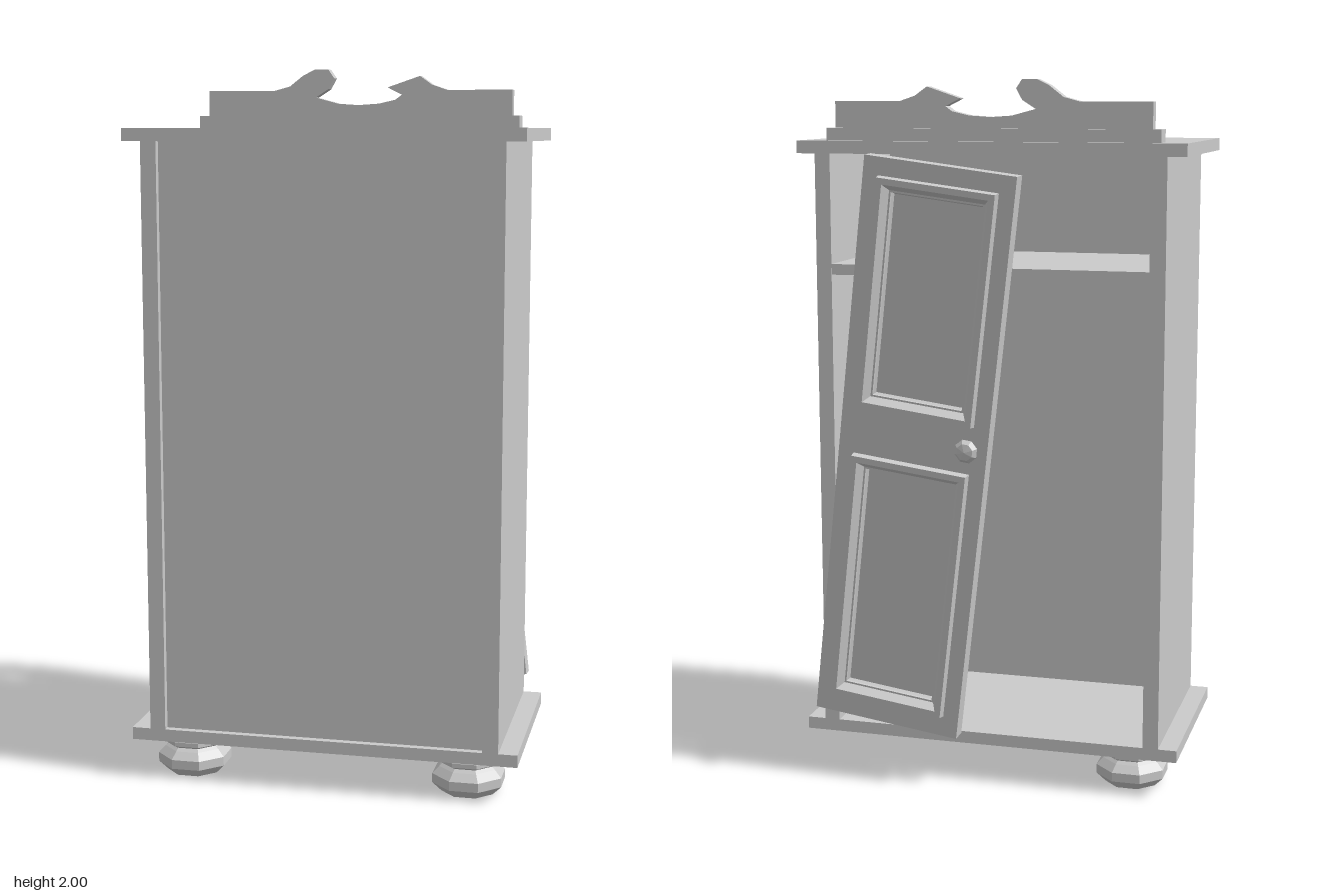
import * as THREE from 'three';

const material = new THREE.MeshStandardMaterial({ color: 0xcccccc, flatShading: true });

function add(parent, name, geometry, x = 0, y = 0, z = 0) {
  const mesh = new THREE.Mesh(geometry, material);
  mesh.name = name;
  mesh.position.set(x, y, z);
  parent.add(mesh);
  return mesh;
}

// Box given by its lower and upper limits on each axis
function box(parent, name, [x0, x1], [y0, y1], [z0, z1]) {
  return add(parent, name, new THREE.BoxGeometry(x1 - x0, y1 - y0, z1 - z0),
    (x0 + x1) / 2, (y0 + y1) / 2, (z0 + z1) / 2);
}

// Eight-sided turned part
function turned(points) {
  return new THREE.LatheGeometry(points.map(p => new THREE.Vector2(...p)), 8, Math.PI / 8);
}

function extrude(shape, depth) {
  return new THREE.ExtrudeGeometry(shape, { depth, bevelEnabled: false, curveSegments: 6 });
}

// Corners of a rectangle [x0, x1, y0, y1] shrunk by an inset
function corners([x0, x1, y0, y1], inset) {
  return [[x0 + inset, y0 + inset], [x0 + inset, y1 - inset],
    [x1 - inset, y1 - inset], [x1 - inset, y0 + inset]];
}

// Moulded frame facing -z, swept through rings of [inset, z] and closed by a sunk panel
function mouldedPanel(rect, rings) {
  const positions = [], index = [];
  for (const [inset, z] of rings) {
    for (const [x, y] of corners(rect, inset)) positions.push(x, y, z);
  }
  for (let i = 0; i < rings.length - 1; i++) {
    for (let j = 0; j < 4; j++) {
      const a = i * 4 + j, b = i * 4 + (j + 1) % 4;
      index.push(a, b, b + 4, a, b + 4, a + 4);
    }
  }
  const k = (rings.length - 1) * 4;
  index.push(k, k + 1, k + 2, k, k + 2, k + 3);
  const geometry = new THREE.BufferGeometry();
  geometry.setAttribute('position', new THREE.Float32BufferAttribute(positions, 3));
  geometry.setIndex(index);
  const flat = geometry.toNonIndexed();
  flat.computeVertexNormals();
  return flat;
}

function createDoor() {
  const door = new THREE.Group();
  door.name = 'door';
  const width = 0.433, height = 1.615;
  const panels = [[0.045, 0.388, 0.06, 0.785], [0.045, 0.388, 0.92, 1.565]];

  // Backing board and front layer with two openings
  box(door, 'doorBoard', [0, width], [0, height], [-0.025, 0]);
  const front = new THREE.Shape([[0, 0], [width, 0], [width, height], [0, height]]
    .map(p => new THREE.Vector2(...p)));
  for (const rect of panels) {
    front.holes.push(new THREE.Path(corners(rect, 0.04).map(p => new THREE.Vector2(...p))));
  }
  add(door, 'doorFront', extrude(front, 0.022), 0, 0, -0.047);

  // Raised mouldings around sunk panels
  panels.forEach(rect => add(door, 'doorPanel', mouldedPanel(rect,
    [[0, -0.047], [0.003, -0.072], [0.02, -0.072], [0.045, -0.03]])));

  // Knob
  const knob = add(door, 'knob', turned([[0.015, 0], [0.013, 0.018], [0.028, 0.024],
    [0.034, 0.037], [0.024, 0.05], [0, 0.055]]), 0.05, 0.86, -0.047);
  knob.rotation.x = -Math.PI / 2;

  // Hangs loose: leaning outwards and slipped sideways
  const up = new THREE.Vector3(-0.199, 1.6, -0.076).normalize();
  const across = new THREE.Vector3(0.43, 0.053, 0.015);
  across.addScaledVector(up, -across.dot(up)).normalize();
  const inward = new THREE.Vector3().crossVectors(across, up);
  door.quaternion.setFromRotationMatrix(new THREE.Matrix4().makeBasis(across, up, inward));
  door.position.set(0.075, 0.147, -0.22);
  return door;
}

export function createModel() {
  const wardrobe = new THREE.Group();
  wardrobe.name = 'wardrobe';
  const depth = [-0.205, 0.365];

  // Carcass
  box(wardrobe, 'topBoard', [-0.55, 0.55], [1.797, 1.832], depth);
  box(wardrobe, 'bottomBoard', [-0.55, 0.55], [0.112, 0.147], depth);
  box(wardrobe, 'rightSide', [-0.497, -0.453], [0.147, 1.797], depth);
  box(wardrobe, 'leftSide', [0.453, 0.497], [0.147, 1.797], depth);
  box(wardrobe, 'backPanel', [-0.453, 0.453], [0.147, 1.797], [0.32, 0.345]);
  box(wardrobe, 'shelf', [-0.453, 0.453], [1.46, 1.49], [-0.203, 0.32]);

  // Bun feet, with one corner missing
  const foot = turned([[0, 0], [0.078, 0], [0.105, 0.026], [0.105, 0.052], [0.085, 0.072],
    [0.075, 0.08], [0.09, 0.088], [0.09, 0.1], [0.08, 0.112], [0, 0.112]]);
  for (const [x, z] of [[-0.4, 0.253], [0.4, 0.253], [-0.4, -0.077]]) {
    add(wardrobe, 'foot', foot, x, 0, z);
  }

  // Crest with a scrolled left half and a snapped right half
  box(wardrobe, 'crestBase', [-0.475, 0.47], [1.832, 1.867], [-0.18, -0.115]);
  const crest = new THREE.Shape([[-0.45, 1.867], [0.447, 1.867], [0.447, 1.94], [0.26, 1.94],
    [0.215, 1.955], [0.18, 1.98], [0.085, 1.948], [0.127, 1.927], [0.108, 1.913],
    [0.06, 1.902], [0, 1.898], [-0.06, 1.902], [-0.128, 1.92], [-0.09, 1.944],
    [-0.073, 1.975], [-0.09, 2], [-0.13, 2], [-0.165, 1.983], [-0.205, 1.952],
    [-0.25, 1.94], [-0.45, 1.94]].map(p => new THREE.Vector2(...p)));
  add(wardrobe, 'crest', extrude(crest, 0.038), 0, 0, -0.168);

  wardrobe.add(createDoor());
  return wardrobe;
}
